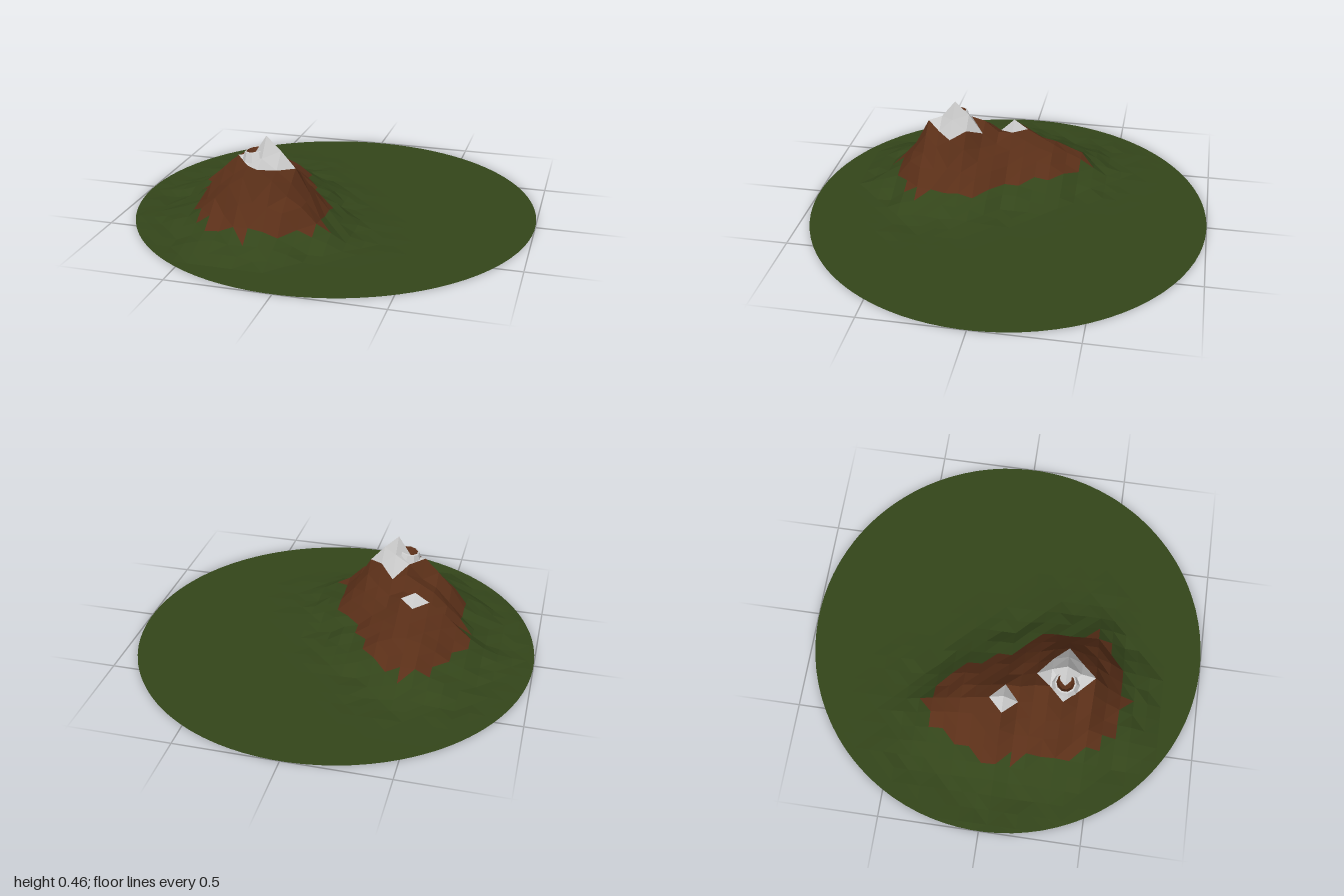
import * as THREE from 'three';

const STEP = 1 / 14;
// Mountain cross-sections from back to front: crest x, crest height, right foot x, left foot x
const FIRST_Z = -4.5 * STEP;
const ROWS = [
  [-0.45, 0.11, -0.52, -0.38],
  [-0.40, 0.14, -0.55, -0.25],
  [-0.40, 0.18, -0.60, -0.18],
  [-0.39, 0.22, -0.62, -0.15],
  [-0.39, 0.26, -0.66, -0.11],
  [-0.393, 0.31, -0.66, -0.10],
  [-0.33, 0.27, -0.62, -0.03],
  [-0.32, 0.325, -0.62, 0.01],
  [-0.25, 0.39, -0.60, 0.03],
  [-0.25, 0.46, -0.62, 0.04],
  [-0.25, 0.37, -0.60, 0.04],
  [-0.25, 0.34, -0.57, 0.04],
  [-0.23, 0.21, -0.50, 0.00],
  [-0.28, 0.11, -0.42, -0.12],
];
const FOOT = 0.085;
const PEAK = [-3.5 * STEP, 4.5 * STEP];
const SMALL_PEAK = [-5.5 * STEP, 0.5 * STEP];

// Repeatable noise in 0..1 for a grid point
function noise(i, j) {
  const s = Math.sin(i * 127.1 + j * 311.7) * 43758.5453;
  return s - Math.floor(s);
}

function heightAt(i, j) {
  const x = (i + 0.5) * STEP, z = (j + 0.5) * STEP;
  if (i === -5 && j === 4) return 0.35; // crater floor
  const r = Math.round((z - FIRST_Z) / STEP);
  const k = THREE.MathUtils.clamp(r, 0, ROWS.length - 1);
  const [crest, top, lo, hi] = ROWS[k];
  const dz = Math.abs(r - k) * STEP;
  const dx = Math.max(lo - x, x - hi, 0);
  const n = noise(i, j);
  if (dx === 0 && dz === 0) {
    // rocky slope
    const s = Math.abs(x - crest) / Math.abs((x < crest ? lo : hi) - crest);
    const rough = s > 0.3 ? (n - 0.5) * 0.035 : 0;
    return FOOT + (top - FOOT) * (1 - Math.pow(s, 1.2)) + rough;
  }
  // grassy skirt, then low bumps fading out
  const d = Math.hypot(dx, dz);
  const reach = r > k ? 0.2 : 0.38;
  const skirt = FOOT - 0.45 * d + (n - 0.5) * 0.02;
  const bumps = 0.03 * n * Math.max(0, 1 - d / reach);
  return Math.max(0, skirt, bumps);
}

function surface(name, points, color) {
  const geometry = new THREE.BufferGeometry();
  geometry.setAttribute('position', new THREE.Float32BufferAttribute(points, 3));
  geometry.computeVertexNormals();
  return part(name, geometry, color);
}

function part(name, geometry, color) {
  const mesh = new THREE.Mesh(geometry, new THREE.MeshStandardMaterial({
    color, flatShading: true, side: THREE.DoubleSide,
  }));
  mesh.name = name;
  return mesh;
}

export function createModel() {
  const group = new THREE.Group();
  group.name = 'mountainIsland';
  const grass = [], rock = [], snow = [];

  // Grid point, pulled in to the round rim where it lies outside
  const point = (i, j) => {
    const p = new THREE.Vector3((i + 0.5) * STEP, heightAt(i, j), (j + 0.5) * STEP);
    const r = Math.hypot(p.x, p.z);
    p.outside = r > 1;
    if (p.outside) { p.x /= r; p.z /= r; p.y = 0; }
    return p;
  };
  const near = (c, [x, z], size) => Math.abs(c.x - x) + Math.abs(c.z - z) < size;
  const addFace = (a, b, c) => {
    const mid = a.clone().add(b).add(c).divideScalar(3);
    const list = near(mid, PEAK, 2 * STEP) || near(mid, SMALL_PEAK, STEP) ? snow
      : mid.y > FOOT ? rock : grass;
    for (const p of [a, b, c]) list.push(p.x, p.y, p.z);
  };

  // Each cell is split along the diagonal that follows the slope's contour
  for (let i = -15; i < 15; i++) {
    for (let j = -15; j < 15; j++) {
      const a = point(i, j), b = point(i, j + 1), c = point(i + 1, j + 1), d = point(i + 1, j);
      if (a.outside && b.outside && c.outside && d.outside) continue;
      if (Math.abs(a.y - c.y) < Math.abs(b.y - d.y)) {
        addFace(a, b, c);
        addFace(a, c, d);
      } else {
        addFace(a, b, d);
        addFace(b, c, d);
      }
    }
  }
  group.add(
    surface('grassland', grass, 0x33451a),
    surface('rockSlopes', rock, 0x5a2f18),
    surface('snowCaps', snow, 0xcccccc),
  );

  // Crater beside the summit: a rock bowl inside a snowy collar
  const lathe = (pts) => new THREE.LatheGeometry(pts.map(([x, y]) => new THREE.Vector2(x, y)), 10);
  const crater = new THREE.Group();
  crater.name = 'crater';
  crater.add(
    part('craterBowl', lathe([[0, -0.012], [0.03, -0.006], [0.044, 0.014]]), 0x5a2f18),
    part('craterCollar', lathe([[0.044, 0.014], [0.052, 0.012], [0.07, -0.03]]), 0xcccccc),
  );
  crater.position.set(-0.305, 0.372, PEAK[1]);
  crater.rotation.z = 0.15;
  group.add(crater);
  return group;
}
